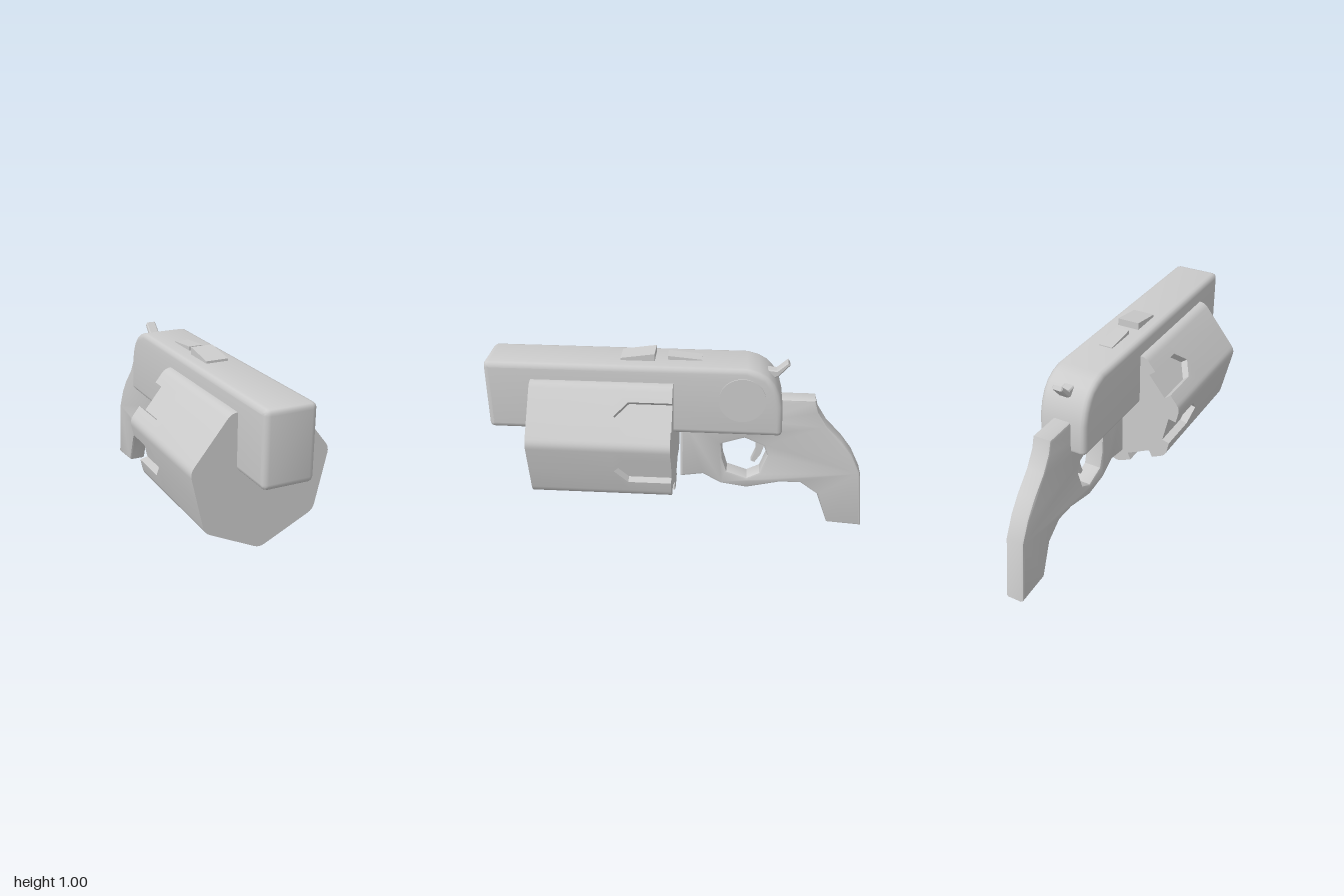
import * as THREE from 'three';
import { toCreasedNormals } from 'three/addons/utils/BufferGeometryUtils.js';

const material = new THREE.MeshStandardMaterial({ color: 0xcccccc });
const vectors = (list) => list.map(([a, b]) => new THREE.Vector2(a, b));

function addPart(group, name, geometry) {
  const mesh = new THREE.Mesh(toCreasedNormals(geometry, 0.6), material);
  mesh.name = name;
  group.add(mesh);
  return mesh;
}

// Side profile in (z, y), extruded across x from x0 to x1 with a bevel inside the outline
function sideExtrude(shape, x0, x1, bevel = 0, segments = 3) {
  const geometry = new THREE.ExtrudeGeometry(shape, {
    depth: x1 - x0 - 2 * bevel, curveSegments: 5, bevelEnabled: bevel > 0,
    bevelSize: bevel, bevelThickness: bevel, bevelOffset: -bevel, bevelSegments: segments,
  });
  geometry.rotateY(-Math.PI / 2);
  geometry.translate(x1 - bevel, 0, 0);
  return geometry;
}

// Barrel block with rounded corners and a sloping, curved rear
function bodyShape() {
  const s = new THREE.Shape();
  s.moveTo(0.97, 0.59);
  s.quadraticCurveTo(1, 0.59, 1, 0.62);
  s.lineTo(1, 0.935);
  s.quadraticCurveTo(1, 0.965, 0.97, 0.965);
  s.lineTo(-0.34, 0.965);
  s.bezierCurveTo(-0.45, 0.945, -0.5, 0.89, -0.525, 0.76);
  s.lineTo(-0.53, 0.615);
  s.quadraticCurveTo(-0.53, 0.59, -0.505, 0.59);
  s.closePath();
  return s;
}

// Grip and frame in one outline, with the trigger opening as a hole
function gripShape() {
  const s = new THREE.Shape(vectors([
    [0, 0.65], [0, 0.28], [-0.12, 0.298], [-0.22, 0.243], [-0.36, 0.222], [-0.54, 0.264],
    [-0.65, 0.264], [-0.745, 0.195], [-0.81, 0.015], [-1, 0.002], [-0.963, 0.34],
    [-0.91, 0.45], [-0.85, 0.53], [-0.765, 0.62], [-0.715, 0.70], [-0.697, 0.765], [-0.4, 0.765], [-0.4, 0.65],
  ]));
  s.holes.push(new THREE.Path(vectors([
    [-0.218, 0.49], [-0.34, 0.53], [-0.443, 0.485], [-0.464, 0.43],
    [-0.425, 0.32], [-0.358, 0.286], [-0.25, 0.322], [-0.226, 0.40],
  ])));
  return s;
}

// Seven-sided ring: rounded corners, and a notch of given half width and depth in each flat
function drumRing(halfWidth, depth) {
  const R = 0.372, centreY = 0.543, round = 0.03, ring = [];
  const corner = (k) => {
    const a = -Math.PI / 2 + (k * 2 * Math.PI) / 7;
    return new THREE.Vector2(R * Math.cos(a), centreY + R * Math.sin(a));
  };
  for (let k = 0; k < 7; k++) {
    const p = corner(k), next = corner(k + 1);
    const back = corner(k - 1).sub(p).normalize(), along = next.clone().sub(p).normalize();
    const curve = new THREE.QuadraticBezierCurve(
      p.clone().addScaledVector(back, round), p, p.clone().addScaledVector(along, round));
    ring.push(...curve.getPoints(4));
    const mid = p.clone().lerp(next, 0.5), inward = new THREE.Vector2(-along.y, along.x);
    for (const [side, d] of [[-1, 0], [-1, depth], [1, depth], [1, 0]]) {
      ring.push(mid.clone().addScaledVector(along, side * halfWidth).addScaledVector(inward, d));
    }
  }
  return ring;
}

// Drum lofted through rings; the notches run in from the rear and taper to a point
function drumGeometry() {
  const w = 0.073, d = 0.042;
  const rings = [[0.03, w, d], [0.25, w, d], [0.32, 0, d], [0.32, 0, 0], [0.76, 0, 0]]
    .map(([z, halfWidth, depth]) => drumRing(halfWidth, depth).map((p) => new THREE.Vector3(p.x, p.y, z)));
  const positions = [];
  const triangle = (a, b, c) => {
    if (new THREE.Triangle(a, b, c).getArea() > 1e-8) {
      for (const p of [a, b, c]) positions.push(p.x, p.y, p.z);
    }
  };
  for (let r = 0; r < rings.length - 1; r++) {
    const lower = rings[r], upper = rings[r + 1], n = lower.length;
    for (let i = 0; i < n; i++) {
      const j = (i + 1) % n;
      triangle(lower[i], lower[j], upper[j]);
      triangle(lower[i], upper[j], upper[i]);
    }
  }
  // End caps
  const rear = rings[0], front = rings[4].filter((p, i) => i % 9 < 5);
  const cap = (ring) => THREE.ShapeUtils.triangulateShape(ring.map((p) => new THREE.Vector2(p.x, p.y)), []);
  for (const [a, b, c] of cap(rear)) triangle(rear[c], rear[b], rear[a]);
  for (const [a, b, c] of cap(front)) triangle(front[a], front[b], front[c]);
  const geometry = new THREE.BufferGeometry();
  geometry.setAttribute('position', new THREE.Float32BufferAttribute(positions, 3));
  return geometry;
}

export function createModel() {
  const model = new THREE.Group();
  model.name = 'toyRevolver';

  addPart(model, 'barrelBody', sideExtrude(bodyShape(), -0.13, 0.13, 0.028));
  addPart(model, 'drum', drumGeometry());
  addPart(model, 'gripFrame', sideExtrude(gripShape(), -0.05, 0.05, 0.013, 2));

  // Small side-profile parts: name, x range, bevel, outline
  const details = [
    ['trigger', -0.02, 0.02, 0, [[-0.40, 0.52], [-0.45, 0.49], [-0.43, 0.42], [-0.398, 0.37], [-0.378, 0.378], [-0.402, 0.44]]],
    ['hammer', -0.028, 0.028, 0.006, [[-0.42, 0.925], [-0.49, 0.918], [-0.545, 0.967], [-0.556, 0.948], [-0.50, 0.885], [-0.44, 0.86]]],
    ['frontSight', -0.063, 0.055, 0, [[0.305, 0.95], [0.305, 0.977], [0.13, 1.003], [0.13, 0.95]]],
    ['rearSight', -0.043, 0.033, 0, [[0.065, 0.95], [0.065, 0.986], [-0.11, 0.97], [-0.11, 0.95]]],
  ];
  for (const [name, x0, x1, bevel, outline] of details) {
    addPart(model, name, sideExtrude(new THREE.Shape(vectors(outline)), x0, x1, bevel, 1));
  }

  // Round plate on the left side only
  const plate = addPart(model, 'sidePlate', new THREE.CylinderGeometry(0.12, 0.12, 0.03, 40));
  plate.rotation.z = -Math.PI / 2;
  plate.position.set(0.121, 0.795, -0.32);

  return model;
}
